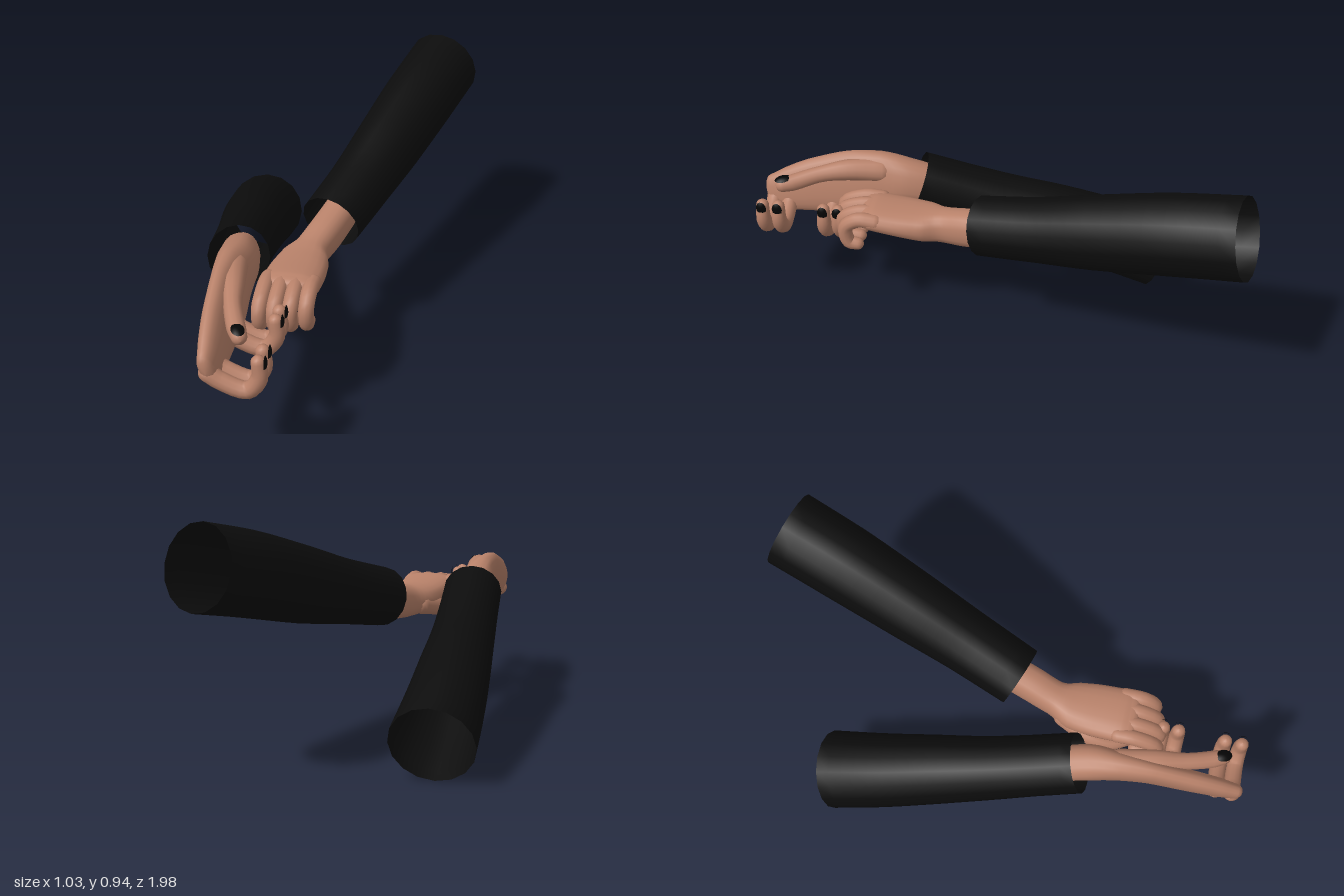
import * as THREE from 'three';

const skin = new THREE.MeshStandardMaterial({ color: 0xb9826a });
skin.name = 'skin';
const cloth = new THREE.MeshStandardMaterial({ color: 0x0c0c0c, side: THREE.DoubleSide });
cloth.name = 'black cloth';
const polish = new THREE.MeshStandardMaterial({ color: 0x050505 });
polish.name = 'black nail polish';

const X = new THREE.Vector3(1, 0, 0);
const Y = new THREE.Vector3(0, 1, 0);
const Z = new THREE.Vector3(0, 0, 1);

// Smooth loft through sections [x, y, z, halfWidth, halfHeight]; "up" sets the height direction
function loft(name, sections, material, { up = Y, capped = true, sides = 16, steps = 4, power = 1 } = {}) {
  const path = new THREE.CatmullRomCurve3(sections.map(s => new THREE.Vector3(s[0], s[1], s[2])));
  const size = new THREE.CatmullRomCurve3(sections.map(s => new THREE.Vector3(s[3], s[4], 0)));
  const n = (sections.length - 1) * steps;
  const rings = [];
  const addCap = (t, sign) => {
    const list = [];
    const r = size.getPoint(t);
    const depth = Math.min(r.x, r.y) * 0.95;
    for (let k = 1; k <= 4; k++) {
      const a = (k / 4) * Math.PI / 2;
      list.push({ t, shift: sign * depth * Math.sin(a), scale: Math.max(Math.cos(a), 0.001) });
    }
    return list;
  };
  if (capped) rings.push(...addCap(0, -1).reverse());
  for (let i = 0; i <= n; i++) rings.push({ t: i / n, shift: 0, scale: 1 });
  if (capped) rings.push(...addCap(1, 1));

  const pos = [];
  const index = [];
  const bulge = c => Math.sign(c) * Math.pow(Math.abs(c), power);
  rings.forEach(({ t, shift, scale }, i) => {
    const dir = path.getTangent(t);
    const c = path.getPoint(t).addScaledVector(dir, shift);
    const r = size.getPoint(t).multiplyScalar(scale);
    const v = up.clone().addScaledVector(dir, -up.dot(dir)).normalize();
    const u = v.clone().cross(dir);
    for (let j = 0; j < sides; j++) {
      const a = (j / sides) * Math.PI * 2;
      const p = c.clone()
        .addScaledVector(u, bulge(Math.cos(a)) * r.x)
        .addScaledVector(v, bulge(Math.sin(a)) * r.y);
      pos.push(p.x, p.y, p.z);
      if (i < rings.length - 1) {
        const k = (j + 1) % sides;
        const A = i * sides + j, B = i * sides + k;
        index.push(A, B, B + sides, A, B + sides, A + sides);
      }
    }
  });
  const geo = new THREE.BufferGeometry();
  geo.setAttribute('position', new THREE.Float32BufferAttribute(pos, 3));
  geo.setIndex(index);
  geo.computeVertexNormals();
  const mesh = new THREE.Mesh(geo, material);
  mesh.name = name;
  return mesh;
}

// Finger of round section through points [x, y, z, radius]
function finger(name, points, up) {
  return loft(name, points.map(([x, y, z, r]) => [x, y, z, r, r]), skin, { up, sides: 12 });
}

// Thin curved nail wrapped over a fingertip
function nail(name, centre, facing, along, radius) {
  const geo = new THREE.SphereGeometry(radius, 14, 5, 0, Math.PI * 2, 0, 0.8);
  geo.scale(1, 1, 1.4);
  const z = along.clone().addScaledVector(facing, -along.dot(facing)).normalize();
  const x = facing.clone().cross(z);
  const m = new THREE.Matrix4().makeBasis(x, facing, z).setPosition(...centre);
  geo.applyMatrix4(m);
  const mesh = new THREE.Mesh(geo, polish);
  mesh.name = name;
  return mesh;
}

function rightArm() {
  const arm = new THREE.Group();
  arm.name = 'rightArm';
  arm.add(loft('rightSleeve', [
    [-0.36, 0.152, -0.63, 0.16, 0.158],
    [-0.34, 0.23, -0.42, 0.15, 0.155],
    [-0.31, 0.31, -0.2, 0.138, 0.147],
    [-0.28, 0.378, 0, 0.126, 0.135],
    [-0.25, 0.45, 0.18, 0.12, 0.122],
    [-0.22, 0.515, 0.35, 0.118, 0.118],
  ], cloth, { capped: false }));

  // Wrist and upright palm
  arm.add(loft('rightPalm', [
    [-0.235, 0.47, 0.25, 0.068, 0.078],
    [-0.208, 0.515, 0.39, 0.07, 0.092],
    [-0.2, 0.52, 0.5, 0.056, 0.118],
    [-0.19, 0.5, 0.62, 0.045, 0.135],
    [-0.182, 0.475, 0.78, 0.042, 0.115],
    [-0.175, 0.45, 0.89, 0.037, 0.092],
    [-0.172, 0.437, 0.955, 0.03, 0.07],
  ], skin, { up: new THREE.Vector3(-0.25, 0.97, 0), sides: 20, power: 0.85 }));

  // Hooked fingers with nails facing the model's left
  [['Index', 0.95], ['Middle', 0.885], ['Ring', 0.7], ['Little', 0.64]].forEach(([id, z]) => {
    arm.add(finger('right' + id + 'Finger', [
      [-0.175, 0.42, z, 0.034],
      [-0.13, 0.392, z, 0.033],
      [-0.035, 0.367, z, 0.032],
      [0.008, 0.425, z, 0.03],
      [0.004, 0.49, z, 0.026],
    ], Z));
    arm.add(nail('right' + id + 'Nail', [0.007, 0.488, z], X, Y, 0.029));
  });

  // Thumb lying along the top of the palm
  arm.add(finger('rightThumb', [
    [-0.195, 0.565, 0.5, 0.05],
    [-0.165, 0.575, 0.63, 0.043],
    [-0.135, 0.56, 0.75, 0.033],
    [-0.1, 0.54, 0.84, 0.034],
    [-0.078, 0.536, 0.885, 0.029],
  ], Y));
  arm.add(nail('rightThumbNail', [-0.085, 0.539, 0.88],
    new THREE.Vector3(0.1, 1, 0.08).normalize(), new THREE.Vector3(0.45, 0, 1), 0.034));
  return arm;
}

function leftArm() {
  const arm = new THREE.Group();
  arm.name = 'leftArm';
  arm.add(loft('leftSleeve', [
    [0.368, 0.79, -0.942, 0.153, 0.157],
    [0.3, 0.732, -0.7, 0.15, 0.156],
    [0.212, 0.645, -0.4, 0.138, 0.145],
    [0.145, 0.585, -0.18, 0.127, 0.127],
    [0.07, 0.527, 0.05, 0.122, 0.117],
  ], cloth, { capped: false }));

  // Wrist and palm with the back of the hand up
  arm.add(loft('leftPalm', [
    [0.095, 0.53, -0.03, 0.066, 0.072],
    [0.06, 0.502, 0.1, 0.066, 0.075],
    [0.03, 0.485, 0.2, 0.066, 0.068],
    [0.016, 0.483, 0.28, 0.096, 0.062],
    [0.012, 0.495, 0.38, 0.108, 0.053],
    [0.01, 0.508, 0.48, 0.11, 0.046],
    [0.01, 0.51, 0.505, 0.108, 0.04],
  ], skin, { sides: 20, power: 0.85 }));

  // Fingers curled under into a loose fist
  ['Index', 'Middle', 'Ring', 'Little'].forEach((id, i) => {
    const x = -0.075 + i * 0.055;
    const reach = [0.015, 0.015, 0, -0.02][i];
    arm.add(finger('left' + id + 'Finger', [
      [x, 0.515, 0.47, 0.031],
      [x, 0.518, 0.54, 0.03],
      [x, 0.48, 0.61 + reach, 0.029],
      [x, 0.41, 0.6 + reach, 0.028],
      [x, 0.402, 0.545, 0.025],
    ], X));
  });

  // Thumb folded beneath the palm
  arm.add(finger('leftThumb', [
    [-0.03, 0.465, 0.25, 0.042],
    [-0.075, 0.44, 0.36, 0.038],
    [-0.08, 0.42, 0.45, 0.03],
    [-0.05, 0.41, 0.51, 0.027],
  ], Y));
  return arm;
}

export function createModel() {
  const model = new THREE.Group();
  model.name = 'claspingArms';
  model.add(rightArm(), leftArm());
  return model;
}
